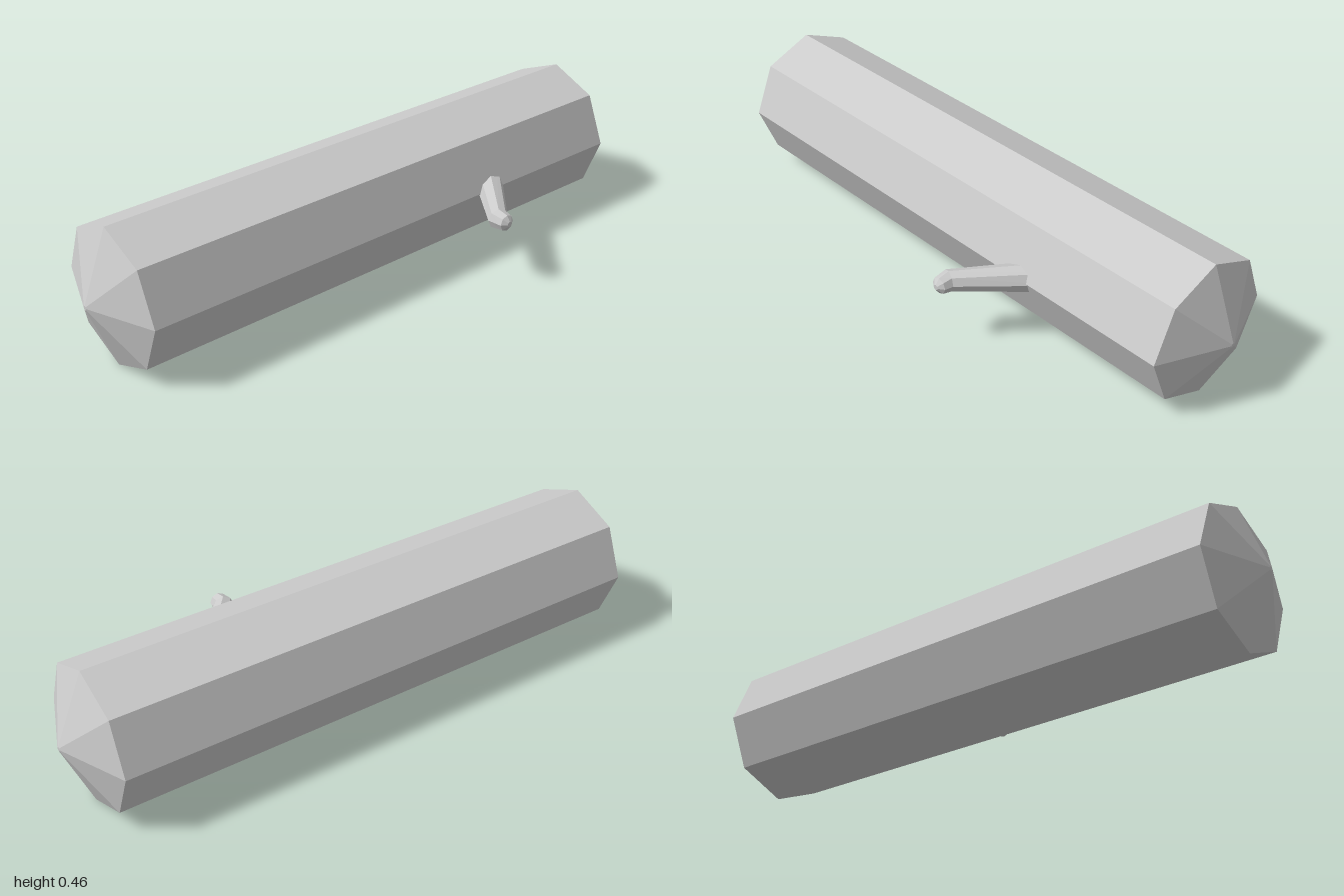
import * as THREE from 'three';

const SIDES = 8;
const material = new THREE.MeshStandardMaterial({ color: 0xcccccc, flatShading: true });

function part(name, geometry) {
  const mesh = new THREE.Mesh(geometry, material);
  mesh.name = name;
  return mesh;
}

// Skins octagonal rings, each { x, z, r, turn }, along a path at height y; closes both ends.
function loft(rings, y) {
  const positions = [];
  const index = [];
  for (const { x, z, r, turn } of rings) {
    for (let i = 0; i < SIDES; i++) {
      const a = (i / SIDES) * Math.PI * 2;
      const side = r * Math.cos(a);
      positions.push(x + side * Math.cos(turn), y + r * Math.sin(a), z - side * Math.sin(turn));
    }
  }
  for (let k = 0; k < rings.length - 1; k++) {
    for (let i = 0; i < SIDES; i++) {
      const a = k * SIDES + i;
      const b = k * SIDES + ((i + 1) % SIDES);
      index.push(a, b, b + SIDES, a, b + SIDES, a + SIDES);
    }
  }
  const last = (rings.length - 1) * SIDES;
  for (let i = 1; i < SIDES - 1; i++) {
    index.push(0, i + 1, i);
    index.push(last, last + i, last + i + 1);
  }
  const indexed = new THREE.BufferGeometry();
  indexed.setAttribute('position', new THREE.Float32BufferAttribute(positions, 3));
  indexed.setIndex(index);
  const geometry = indexed.toNonIndexed();
  geometry.computeVertexNormals();
  return geometry;
}

export function createModel() {
  const group = new THREE.Group();
  group.name = 'log';

  // Trunk: eight-sided prism with shallow pointed ends, lying along x
  const profile = [
    [0, -1], [0.007, -1], [0.228, -0.915], [0.228, 0.91], [0.007, 1], [0, 1],
  ].map(([r, h]) => new THREE.Vector2(r, h));
  const trunk = part('trunk', new THREE.LatheGeometry(profile, SIDES).rotateZ(-Math.PI / 2));
  trunk.position.set(0, 0.229, -0.1);
  group.add(trunk);

  // Branch stub: tapers out of the trunk, bends forward and ends in a blunt tip
  group.add(part('branch', loft([
    { x: 0.47, z: 0, r: 0.051, turn: -0.67 },
    { x: 0.25, z: 0.277, r: 0.034, turn: -0.33 },
    { x: 0.25, z: 0.315, r: 0.027, turn: 0 },
    { x: 0.25, z: 0.328, r: 0.009, turn: 0 },
  ], 0.224)));

  return group;
}
